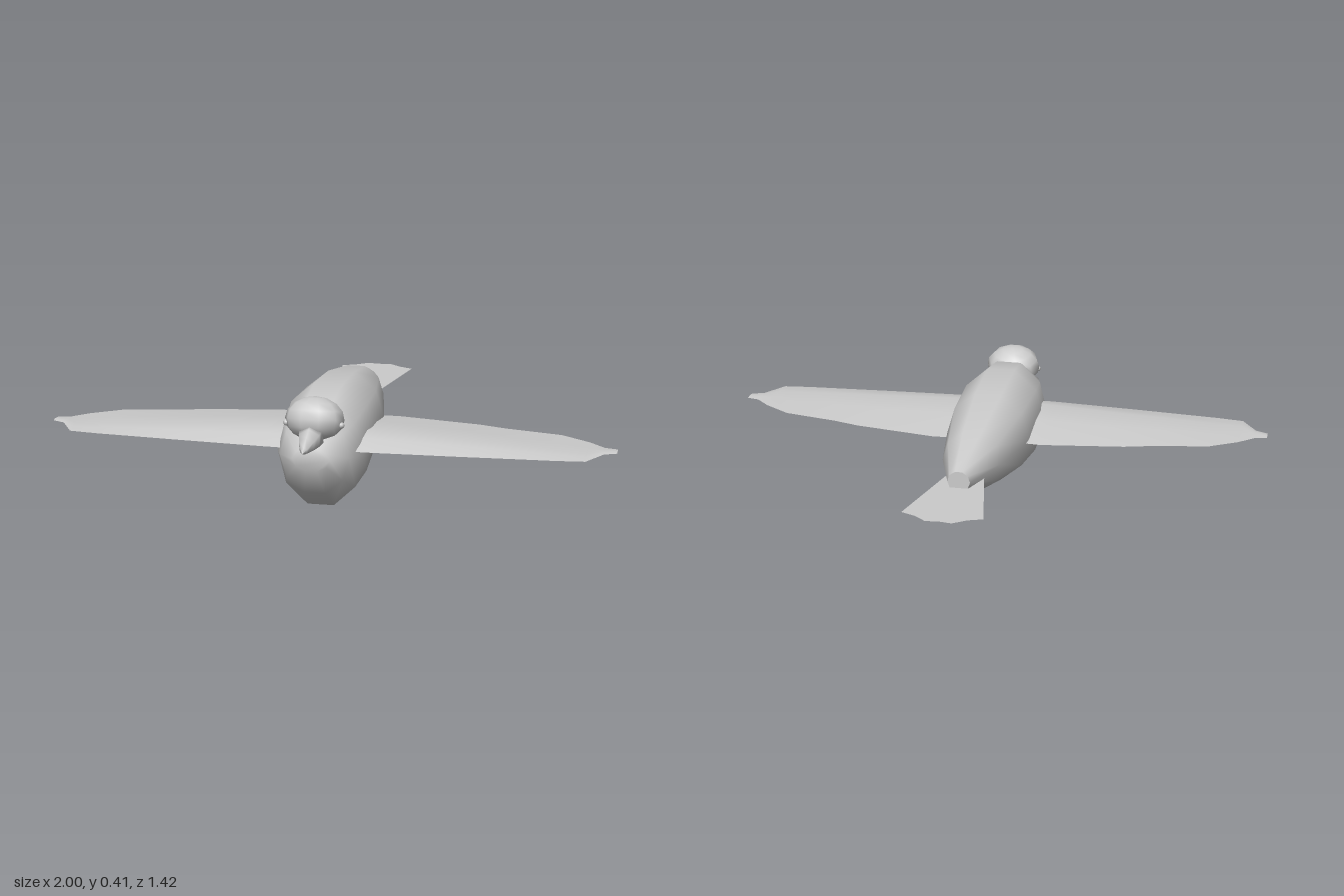
import * as THREE from 'three';
import { toCreasedNormals } from 'three/addons/utils/BufferGeometryUtils.js';

const material = new THREE.MeshStandardMaterial({ color: 0xcccccc });
const thinMaterial = new THREE.MeshStandardMaterial({ color: 0xcccccc, side: THREE.DoubleSide });

// Skin a list of equal-length rings of [x, y, z] points and cap both ends.
function loft(rings, crease) {
  const n = rings[0].length;
  const points = rings.flat();
  const index = [];
  for (let i = 0; i < rings.length - 1; i++) {
    for (let j = 0; j < n; j++) {
      const a = i * n + j, b = i * n + (j + 1) % n;
      index.push(a, b, b + n, a, b + n, a + n);
    }
  }
  const last = (rings.length - 1) * n;
  for (let j = 1; j < n - 1; j++) {
    index.push(0, j + 1, j, last, last + j, last + j + 1);
  }
  const geometry = new THREE.BufferGeometry();
  geometry.setAttribute('position', new THREE.Float32BufferAttribute(points.flat(), 3));
  geometry.setIndex(index);
  return toCreasedNormals(geometry, crease);
}

function add(group, name, geometry, mat = material) {
  const mesh = new THREE.Mesh(geometry, mat);
  mesh.name = name;
  group.add(mesh);
  return mesh;
}

// Ten-sided body: z, half width, bottom, top
function bodyGeometry() {
  const sections = [
    [-0.415, 0.04, 0.19, 0.262],
    [-0.215, 0.105, 0.115, 0.325],
    [0.06, 0.155, 0.045, 0.377],
    [0.285, 0.165, 0.01, 0.396],
    [0.43, 0.15, 0, 0.376],
    [0.525, 0.12, 0.075, 0.335],
    [0.582, 0.065, 0.17, 0.25],
  ];
  const rings = sections.map(([z, w, low, high]) => {
    const ry = (high - low) / 2 / Math.sin(Math.PI * 0.4);
    return Array.from({ length: 10 }, (_, k) => {
      const a = k * Math.PI / 5;
      return [w * Math.cos(a), (low + high) / 2 + ry * Math.sin(a), z];
    });
  });
  return loft(rings, 1);
}

// Wing with a flat underside: x, leading z, trailing z, thickness
function wingGeometry(side) {
  const sections = [
    [0.08, 0.478, 0.03, 0.042],
    [0.2, 0.474, 0.022, 0.038],
    [0.5, 0.457, 0.07, 0.024],
    [0.6, 0.45, 0.1, 0.02],
    [0.8, 0.437, 0.14, 0.01],
    [0.9, 0.425, 0.205, 0.005],
    [0.955, 0.335, 0.258, 0.004],
    [1, 0.315, 0.268, 0.003],
  ];
  // fraction from leading to trailing edge, fraction of thickness
  const profile = [[1, 0], [0.62, 0.7], [0.3, 1], [0.17, 0.72], [0, 0.06], [0.3, 0]];
  const rings = sections.map(([x, lead, trail, thick]) => {
    const ring = profile.map(([u, v]) => [side * x, 0.21 + v * thick, lead + (trail - lead) * u]);
    return side > 0 ? ring : ring.reverse();
  });
  return loft(rings, 0.7);
}

export function createModel() {
  const bird = new THREE.Group();
  bird.name = 'bird';

  add(bird, 'body', bodyGeometry());

  for (const [side, label] of [[1, 'left'], [-1, 'right']]) {
    add(bird, label + 'Wing', wingGeometry(side));
    const eye = add(bird, label + 'Eye', new THREE.SphereGeometry(0.011, 8, 6));
    eye.position.set(side * 0.094, 0.322, 0.535);
  }

  // Head
  const head = add(bird, 'head', new THREE.SphereGeometry(1, 10, 8));
  head.scale.set(0.102, 0.076, 0.088);
  head.rotation.x = -0.25;
  head.position.set(0, 0.335, 0.519);

  // Six-sided beak, bulging slightly towards the tip
  const beakProfile = [[0, 0], [0.046, 0], [0.04, 0.035], [0.029, 0.075], [0.012, 0.118], [0, 0.138]]
    .map(([r, y]) => new THREE.Vector2(r, y));
  const beak = add(bird, 'beak', new THREE.LatheGeometry(beakProfile, 6));
  beak.rotation.x = Math.PI / 2 + 0.15;
  beak.position.set(0, 0.291, 0.573);

  // Flat fanned tail with a scalloped end
  const half = [[0.05, 0.23], [0.14, 0.655], [0.09, 0.675], [0.045, 0.71], [0, 0.704]];
  const outline = [...half, ...half.slice(0, -1).reverse().map(([x, y]) => [-x, y])];
  const tailShape = new THREE.Shape(outline.map(([x, y]) => new THREE.Vector2(x, y)));
  const tail = add(bird, 'tail', new THREE.ShapeGeometry(tailShape), thinMaterial);
  tail.rotation.x = -Math.PI / 2;
  tail.position.y = 0.203;

  return bird;
}
